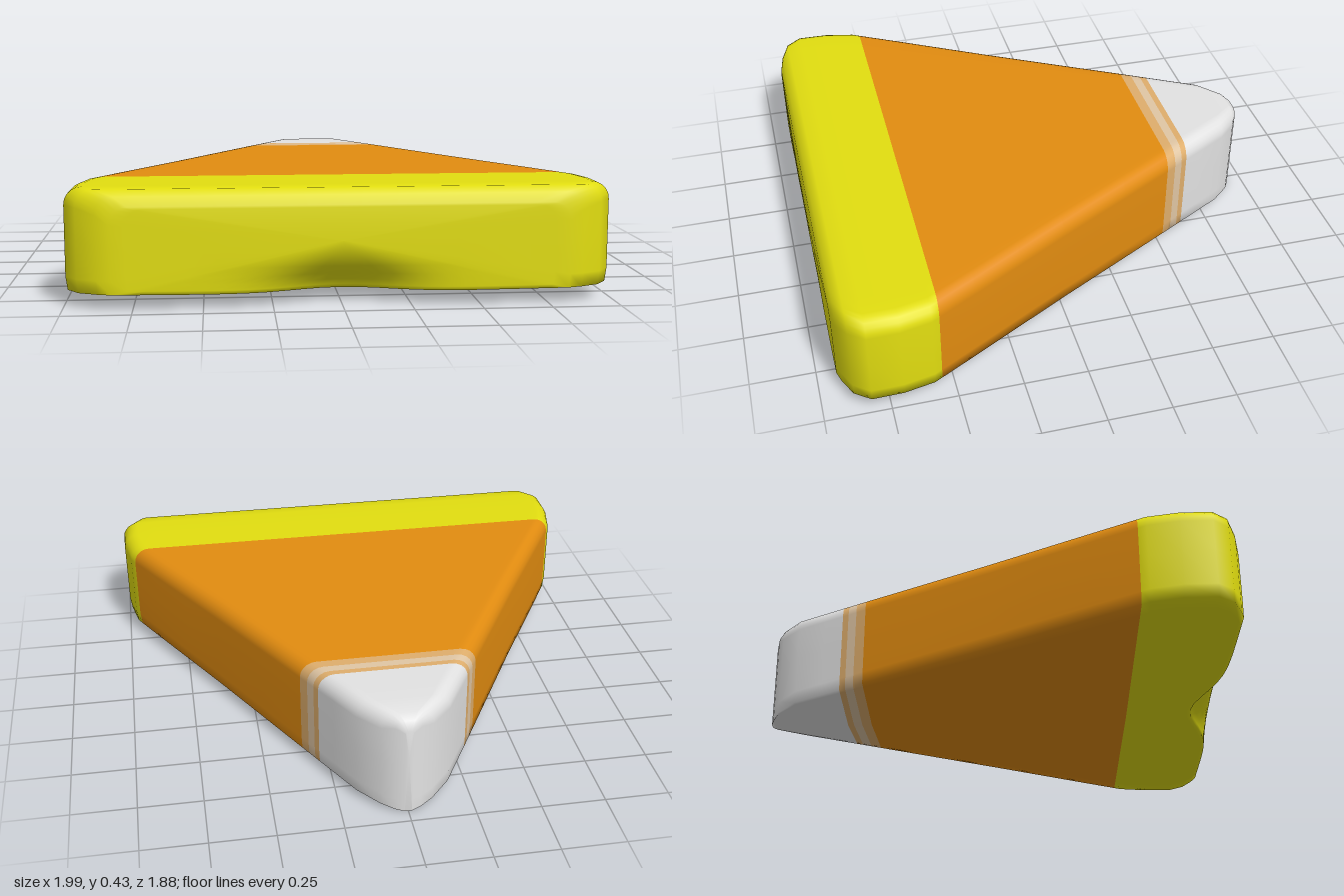
import * as THREE from 'three';

const paint = (name, color) => {
  const m = new THREE.MeshStandardMaterial({ color });
  m.name = name;
  return m;
};

// Cross-section keys along the body: [z, half width, top, bottom edge, bottom centre]
const KEYS = [
  [-0.94, 0.015, 0.36, 0.0, 0.0],
  [-0.928, 0.05, 0.4, 0.006, 0.0],
  [-0.9, 0.1, 0.42, 0.018, 0.0],
  [-0.82, 0.178, 0.43, 0.03, 0.0],
  [-0.55, 0.33, 0.43, 0.035, 0.001],
  [0, 0.635, 0.43, 0.043, 0.005],
  [0.4, 0.865, 0.43, 0.05, 0.015],
  [0.58, 0.967, 0.43, 0.053, 0.03],
  [0.7, 0.993, 0.43, 0.055, 0.037],
  [0.82, 0.995, 0.43, 0.055, 0.042],
  [0.88, 0.95, 0.427, 0.055, 0.045],
  [0.913, 0.88, 0.405, 0.055, 0.047],
  [0.928, 0.83, 0.37, 0.055, 0.048],
];

// Colour bands from the tip to the base, each ending at the given z
const BAND_ENDS = [-0.62, -0.595, -0.56, -0.52, 0.55, 9];

function sectionAt(z) {
  let i = 0;
  while (i < KEYS.length - 2 && KEYS[i + 1][0] < z) i++;
  const t = (z - KEYS[i][0]) / (KEYS[i + 1][0] - KEYS[i][0]);
  return KEYS[i].map((v, k) => THREE.MathUtils.lerp(v, KEYS[i + 1][k], t));
}

// Closed outline: bottom, right side, top, left side
function outline([, w, top, edge, centre]) {
  const pts = [];
  const n = 24;
  for (let k = 0; k <= n; k++) {
    const u = -1 + (2 * k) / n;
    pts.push([u * w * 0.993, THREE.MathUtils.lerp(centre, edge, Math.abs(u))]);
  }
  const r = Math.min(0.065, w * 0.6);
  const side = [[w, edge + 0.05], [w, (edge + top) / 2]];
  for (let k = 0; k <= 5; k++) {
    const a = (k / 5) * Math.PI / 2;
    side.push([w - r + r * Math.cos(a), top - r + r * Math.sin(a)]);
  }
  pts.push(...side);
  for (let k = 1; k < n; k++) pts.push([(w - r) * (1 - (2 * k) / n), top]);
  pts.push(...side.reverse().map(([x, y]) => [-x, y]));
  return pts;
}

// Dent in the middle of the lower front edge
function dent(x, y, z) {
  const { smoothstep } = THREE.MathUtils;
  return 0.11 * Math.exp(-((x / 0.24) ** 2)) * smoothstep(z, 0.6, 0.92) * (1 - smoothstep(y, 0.04, 0.2));
}

function bodyGeometry() {
  // Rows: back cap, body sections, front cap shrinking to its middle
  const zs = KEYS.map((k) => k[0]).concat(BAND_ENDS.slice(0, 5), [-0.7, -0.3, 0.2]);
  zs.sort((a, b) => a - b);
  const rows = [[-0.94, 0], ...zs.map((z) => [z, 1])];
  for (const s of [0.93, 0.82, 0.68, 0.5, 0.25, 0]) rows.push([0.928, s]);

  const pos = [];
  let count = 0;
  for (const [z, s] of rows) {
    const loop = outline(sectionAt(z));
    count = loop.length;
    for (const [x, y] of loop) {
      const px = x * s;
      const py = 0.24 + (y - 0.24) * s;
      const bulge = z > 0.92 ? 0.008 * (1 - s * s) : 0;
      pos.push(px, py, z + bulge - dent(px, py, z));
    }
  }

  const geo = new THREE.BufferGeometry();
  const index = [];
  let band = 0;
  let start = 0;
  for (let i = 0; i < rows.length - 1; i++) {
    if (rows[i][0] >= BAND_ENDS[band] - 1e-6) {
      geo.addGroup(start, index.length - start, band++);
      start = index.length;
    }
    for (let j = 0; j < count; j++) {
      const k = (j + 1) % count;
      const a = i * count + j, b = i * count + k;
      const c = b + count, d = a + count;
      index.push(a, b, c, a, c, d);
    }
  }
  geo.addGroup(start, index.length - start, band);
  geo.setAttribute('position', new THREE.Float32BufferAttribute(pos, 3));
  geo.setIndex(index);
  geo.computeVertexNormals();
  return geo;
}

export function createModel() {
  const group = new THREE.Group();
  group.name = 'candyCorn';
  const tan = paint('tan', 0xdfae6c);
  const body = new THREE.Mesh(bodyGeometry(), [
    paint('white', 0xe2e2e2),
    tan,
    paint('cream', 0xe0c6a4),
    tan,
    paint('orange', 0xe28c10),
    paint('yellow', 0xe2de10),
  ]);
  body.name = 'candyBody';
  group.add(body);
  return group;
}
